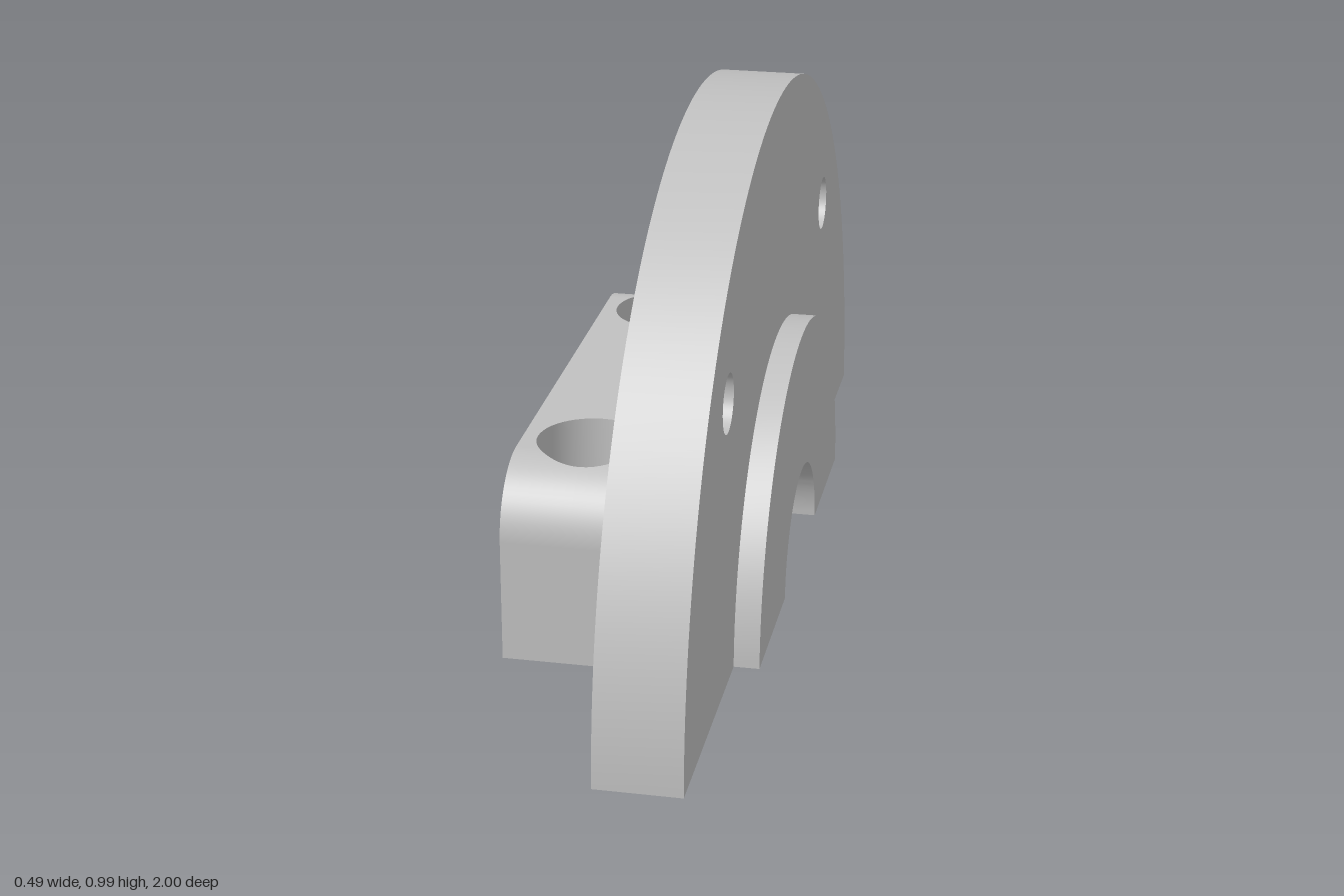
import * as THREE from 'three';
import { toCreasedNormals } from 'three/addons/utils/BufferGeometryUtils.js';

const AXIS_Y = -0.007;                       // bore axis sits just below the cut face
const BORE = 0.2;
const X0 = -0.246, X1 = 0.03, X2 = 0.196, X3 = 0.246;
const HALF = 0.555, TOP = 0.384, FILLET = 0.14;   // clamp block section
const BOLT = { x: -0.11, z: 0.36, r: 0.062, head: 0.107, floor: 0.2 };

// Points of an arc about the bore axis, from y = 0 round to y = 0
function arcPoints(r, n = 72) {
  const a = Math.asin(-AXIS_Y / r);
  return Array.from({ length: n + 1 }, (_, i) => {
    const t = a + (Math.PI - 2 * a) * i / n;
    return new THREE.Vector2(r * Math.cos(t), AXIS_Y + r * Math.sin(t));
  });
}

// Half ring extruded along x
function halfRing(r, xa, xb, holes = []) {
  const shape = new THREE.Shape([...arcPoints(r, 96), ...arcPoints(BORE).reverse()]);
  for (const [z, y, hr] of holes) {
    shape.holes.push(new THREE.Path().absarc(z, y, hr, 0, Math.PI * 2, true));
  }
  const g = new THREE.ExtrudeGeometry(shape, { depth: xb - xa, bevelEnabled: false, curveSegments: 20 });
  g.rotateY(Math.PI / 2).translate(xa, 0, 0);
  return toCreasedNormals(g, 0.6);
}

// Surface ruled along x; each row is { z, y, ny, nz, xa, xb }
function ruled(rows) {
  const pos = [], nor = [], idx = [];
  rows.forEach((r, i) => {
    pos.push(r.xa, r.y, r.z, r.xb, r.y, r.z);
    nor.push(0, r.ny, r.nz, 0, r.ny, r.nz);
    if (i) {
      const a = 2 * i - 2;
      idx.push(a, a + 2, a + 1, a + 2, a + 3, a + 1);
    }
  });
  const g = new THREE.BufferGeometry();
  g.setAttribute('position', new THREE.Float32BufferAttribute(pos, 3));
  g.setAttribute('normal', new THREE.Float32BufferAttribute(nor, 3));
  g.setIndex(idx);
  return g;
}

// Height and slope of the rounded block top at z
const slope = z => Math.min(1, Math.max(0, (Math.abs(z) - HALF + FILLET) / FILLET));
const topY = z => TOP - FILLET * (1 - Math.sqrt(1 - slope(z) ** 2));

// Rows across the block top, sampled at the counterbores and the fillets
function blockRows() {
  const half = [];
  for (let i = 0; i <= 24; i++) half.push(BOLT.z - BOLT.head * Math.cos(Math.PI * i / 24));
  for (let i = 0; i <= 16; i++) half.push(HALF - FILLET + FILLET * Math.sin(Math.PI / 2 * i / 16));
  half.sort((a, b) => a - b);
  const rows = [...half.map(z => -z).reverse(), ...half].map(z => ({
    z, y: topY(z), ny: Math.sqrt(1 - slope(z) ** 2), nz: Math.sign(z) * slope(z),
    gap: Math.sqrt(Math.max(0, BOLT.head ** 2 - (Math.abs(z) - BOLT.z) ** 2)),
  }));
  rows.unshift({ z: -HALF, y: 0, ny: 0, nz: -1, gap: 0 });
  rows.push({ z: HALF, y: 0, ny: 0, nz: 1, gap: 0 });
  return rows;
}

export function createModel() {
  const model = new THREE.Group();
  model.name = 'halfFlangeClamp';
  const metal = new THREE.MeshStandardMaterial({ color: 0xc0c0c0, side: THREE.DoubleSide });
  metal.name = 'plain grey metal';
  const add = (name, geometry, parent = model) => {
    const mesh = new THREE.Mesh(geometry, metal);
    mesh.name = name;
    parent.add(mesh);
  };

  // Half-round flange with two bolt holes, and its raised boss
  add('flange', halfRing(1, X1, X2, [[0.58, 0.575, 0.057], [-0.58, 0.575, 0.057]]));
  add('boss', halfRing(0.505, X2, X3));

  // Clamp block: rounded top and sides, open at the counterbores
  const block = new THREE.Group();
  block.name = 'clampBlock';
  model.add(block);
  const rows = blockRows();
  add('blockOuterTop', ruled(rows.map(r => ({ ...r, xa: X0, xb: BOLT.x - r.gap }))), block);
  add('blockInnerTop', ruled(rows.map(r => ({ ...r, xa: BOLT.x + r.gap, xb: X1 }))), block);

  // End face and bore wall
  const bore = arcPoints(BORE);
  const outline = [...rows.map(r => new THREE.Vector2(r.z, r.y)), ...bore];
  const face = new THREE.ShapeGeometry(new THREE.Shape(outline));
  add('blockEndFace', face.rotateY(-Math.PI / 2).translate(X0, 0, 0), block);
  add('blockBore', ruled(bore.map(p => ({
    z: p.x, y: p.y, nz: -p.x / BORE, ny: (AXIS_Y - p.y) / BORE, xa: X0, xb: X1,
  }))), block);

  for (const s of [-1, 1]) {
    const z = s * BOLT.z, side = s > 0 ? 'Front' : 'Back';

    // Bottom joint face with the bolt hole
    const za = Math.min(s * bore[0].x, s * HALF), zb = Math.max(s * bore[0].x, s * HALF);
    const foot = new THREE.Shape([[X0, za], [X1, za], [X1, zb], [X0, zb]].map(p => new THREE.Vector2(...p)));
    foot.holes.push(new THREE.Path().absarc(BOLT.x, z, BOLT.r, 0, Math.PI * 2, true));
    add('jointFace' + side, new THREE.ShapeGeometry(foot, 24).rotateX(Math.PI / 2), block);

    // Bolt hole, counterbore floor and counterbore wall
    const hole = new THREE.CylinderGeometry(BOLT.r, BOLT.r, BOLT.floor, 48, 1, true);
    add('boltHole' + side, hole.translate(BOLT.x, BOLT.floor / 2, z), block);
    const floor = new THREE.RingGeometry(BOLT.r, BOLT.head, 48);
    add('counterboreFloor' + side, floor.rotateX(-Math.PI / 2).translate(BOLT.x, BOLT.floor, z), block);
    const wall = new THREE.CylinderGeometry(BOLT.head, BOLT.head, 1, 48, 1, true).translate(BOLT.x, 0, z);
    const p = wall.attributes.position;
    for (let i = 0; i < p.count; i++) p.setY(i, p.getY(i) > 0 ? topY(p.getZ(i)) : BOLT.floor);
    add('counterboreWall' + side, wall, block);
  }
  return model;
}
